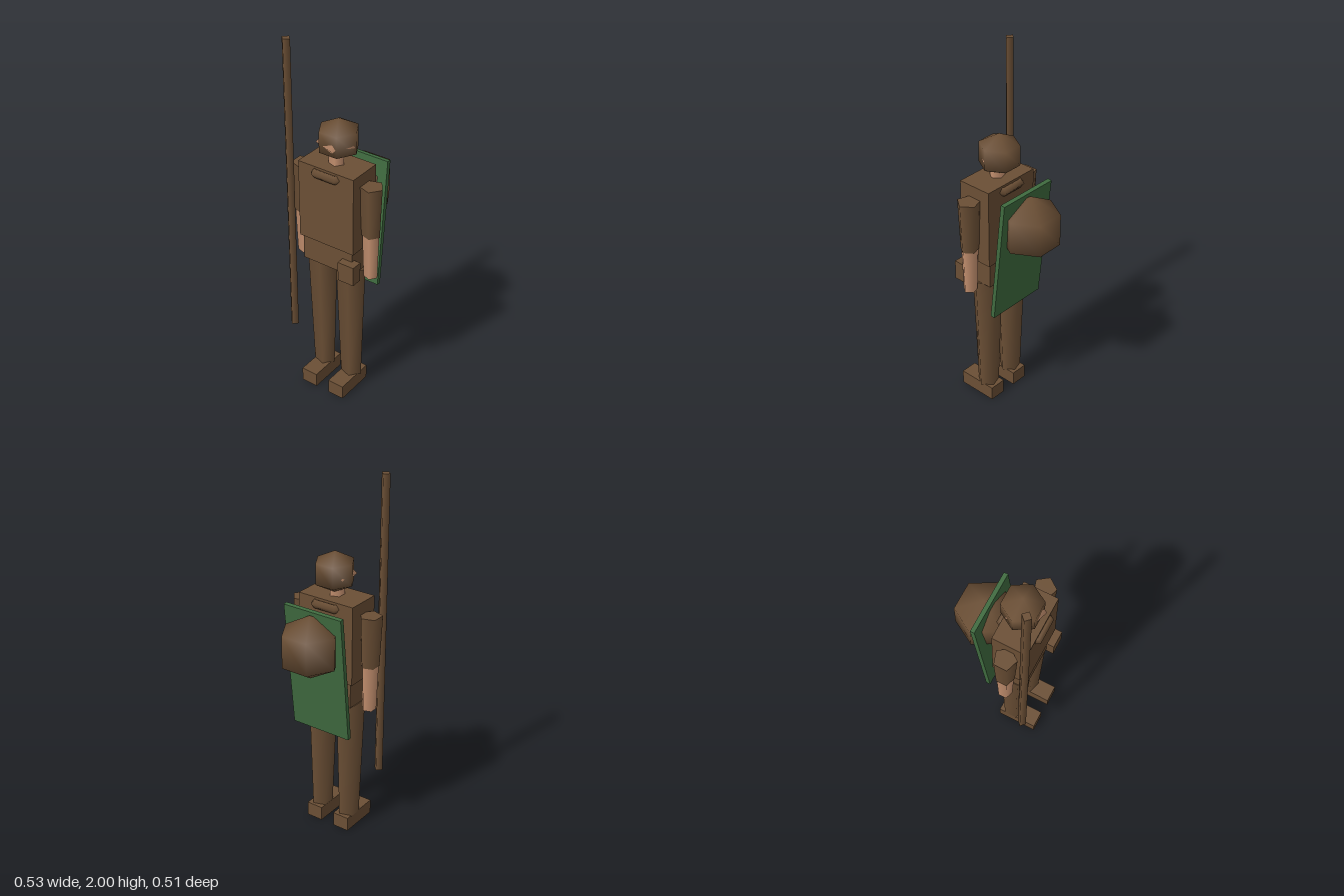
import * as THREE from 'three';

export function createModel() {
  const model = new THREE.Group();
  model.name = 'traveller';
  const material = (name, color) => {
    const m = new THREE.MeshStandardMaterial({ color });
    m.name = name;
    return m;
  };
  const brown = material('brown cloth', 0x6b4f35);
  const skin = material('skin', 0xc4906f);
  const green = material('green panel', 0x3f6b3f);

  const CX = -0.007; // body centre line
  const CZ = 0.104;

  function add(name, geometry, mat, x, y, z) {
    const mesh = new THREE.Mesh(geometry, mat);
    mesh.name = name;
    mesh.position.set(x, y, z);
    model.add(mesh);
    return mesh;
  }
  const box = (name, mat, w, h, d, x, y, z) =>
    add(name, new THREE.BoxGeometry(w, h, d), mat, x, y, z);
  // Five-sided tapered limb with a corner towards +x
  const limb = (name, mat, rTop, rBottom, y0, y1, x, z) =>
    add(name, new THREE.CylinderGeometry(rTop, rBottom, y1 - y0, 5).rotateY(Math.PI / 2),
      mat, x, (y0 + y1) / 2, z);

  // Trunk
  box('torso', brown, 0.333, 0.435, 0.192, CX, 1.1375, CZ);
  box('hips', brown, 0.303, 0.14, 0.172, CX, 0.85, CZ);

  // Arms, legs and boots
  for (const [side, s] of [['left', 1], ['right', -1]]) {
    limb(side + 'UpperArm', brown, 0.0615, 0.05, 1.01, 1.29, CX + s * 0.21, CZ);
    limb(side + 'Forearm', skin, 0.046, 0.038, 0.76, 1.01, CX + s * 0.21, CZ);
    limb(side + 'Leg', brown, 0.083, 0.059, 0.075, 0.78, CX + s * 0.0885, 0.1);
    box(side + 'Boot', brown, 0.095, 0.08, 0.223, CX + s * 0.0875, 0.04, 0.141);
  }

  // Head, with the face just showing through the hood
  limb('neck', skin, 0.04, 0.042, 1.34, 1.43, CX, CZ);
  const face = new THREE.SphereGeometry(0.105, 5, 2).rotateY(Math.PI).scale(1, 1.12, 1);
  add('face', face, skin, CX, 1.47, 0.1);
  const hood = new THREE.SphereGeometry(0.1224, 6, 3).scale(1, 0.915, 1);
  add('hood', hood, brown, CX, 1.483, 0.088);
  const collar = new THREE.TorusGeometry(0.115, 0.025, 5, 6).rotateX(Math.PI / 2);
  add('collar', collar, brown, CX, 1.322, CZ);

  // Back panel and round pack
  const panel = box('backPanel', green, 0.35, 0.712, 0.024, CX, 0.975, -0.056);
  panel.rotation.x = -0.107;
  add('pack', new THREE.SphereGeometry(0.1755, 6, 3), brown, CX, 1.143, -0.122);

  // Belt pouch and staff
  box('pouch', brown, 0.095, 0.108, 0.062, 0.1345, 0.814, 0.201);
  add('staff', new THREE.CylinderGeometry(0.025, 0.025, 1.66, 4), brown, -0.218, 1.17, 0.21);

  return model;
}
